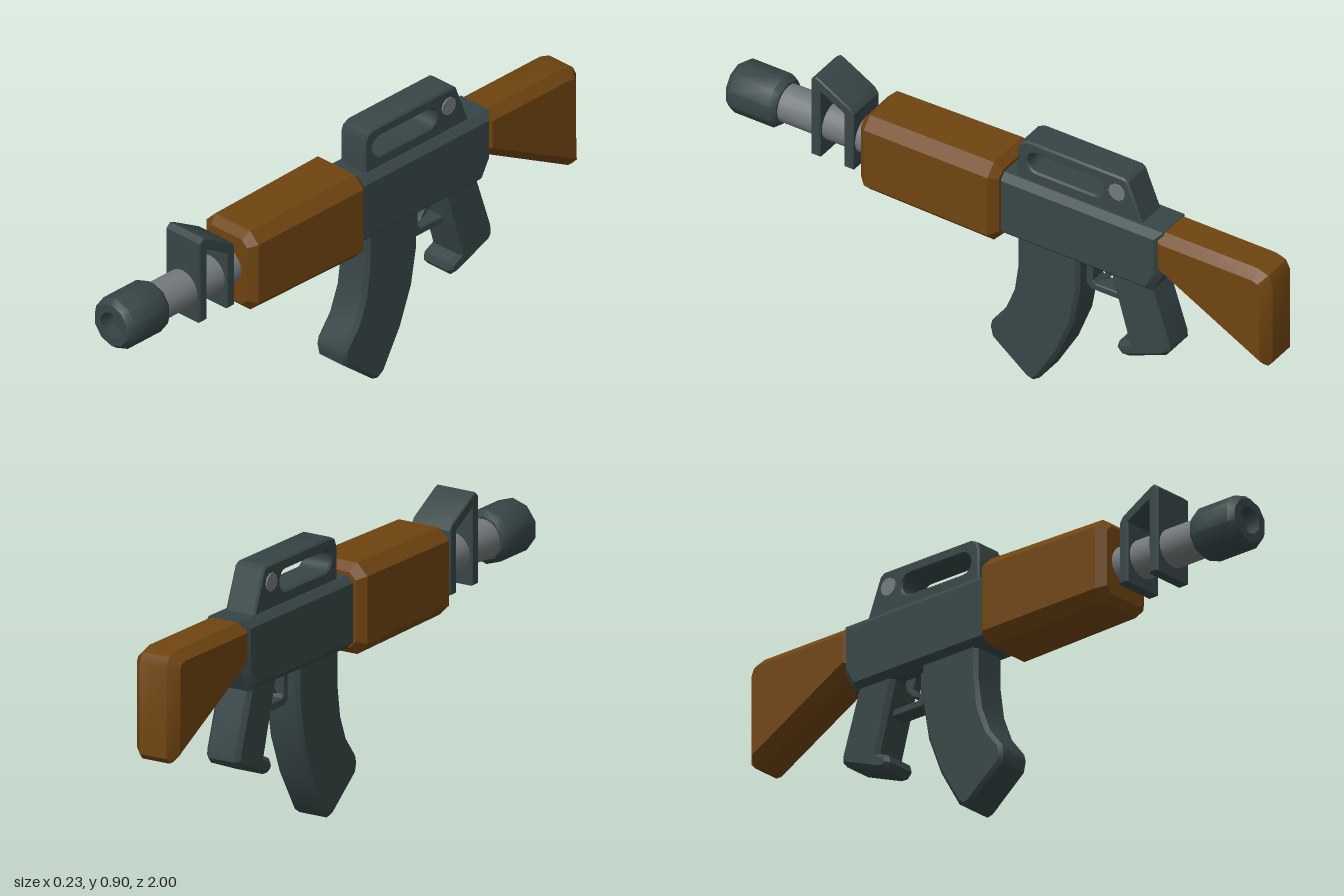
import * as THREE from 'three';
import { toCreasedNormals } from 'three/addons/utils/BufferGeometryUtils.js';

const AXIS_Y = 0.65; // height of the barrel axis

function material(name, color) {
  const m = new THREE.MeshStandardMaterial({ color });
  m.name = name;
  return m;
}

function polygon(points, Type = THREE.Shape) {
  return new Type(points.map(([a, b]) => new THREE.Vector2(a, b)));
}

// Bevelled slab: side outline given as [z, y], extruded across x and centred
function slab(points, width, bevel, hole) {
  const shape = polygon(points);
  if (hole) shape.holes.push(hole);
  const depth = width - 2 * bevel;
  const geo = new THREE.ExtrudeGeometry(shape, {
    depth, bevelEnabled: true, bevelSize: bevel, bevelThickness: bevel,
    bevelOffset: -bevel, bevelSegments: 1, curveSegments: 6,
  });
  geo.translate(0, 0, -depth / 2);
  geo.rotateY(-Math.PI / 2);
  return toCreasedNormals(geo, 0.5);
}

// Rounded slot used as a hole
function slot(z0, z1, y0, y1) {
  const r = (y1 - y0) / 2, y = (y0 + y1) / 2;
  const path = new THREE.Path();
  path.absarc(z1 - r, y, r, -Math.PI / 2, Math.PI / 2, false);
  path.absarc(z0 + r, y, r, Math.PI / 2, Math.PI * 1.5, false);
  path.closePath();
  return path;
}

// Chamfered eight-sided sleeve, slightly slimmer towards the front
function handguardGeometry() {
  const w = 0.117, top = 0.797, bottom = 0.502, c = 0.038, b = 0.026;
  const shape = polygon([
    [-w + c, bottom], [w - c, bottom], [w, bottom + c], [w, top - c],
    [w - c, top], [-w + c, top], [-w, top - c], [-w, bottom + c],
  ]);
  const geo = new THREE.ExtrudeGeometry(shape, {
    depth: 0.51 - 2 * b, bevelEnabled: true, bevelSize: b,
    bevelThickness: b, bevelOffset: -b, bevelSegments: 1,
  });
  geo.translate(0, 0, -0.02 + b);
  const p = geo.attributes.position;
  for (let i = 0; i < p.count; i++) {
    const s = 1 - 0.1 * Math.max(0, p.getZ(i));
    p.setX(i, p.getX(i) * s);
    p.setY(i, AXIS_Y + (p.getY(i) - AXIS_Y) * s);
  }
  return toCreasedNormals(geo, 0.4);
}

export function createModel() {
  const model = new THREE.Group();
  const dark = material('darkMetal', 0x374546);
  const wood = material('brownWood', 0x6f4410);
  const steel = material('greySteel', 0x74797b);

  function add(name, geo, mat) {
    const mesh = new THREE.Mesh(geo, mat);
    mesh.name = name;
    model.add(mesh);
    return mesh;
  }

  // Muzzle with a shallow bore
  const muzzle = new THREE.LatheGeometry([
    [0, 0.815], [0.072, 0.815], [0.088, 0.835], [0.088, 0.98], [0.072, 1],
    [0.045, 1], [0.045, 0.95], [0, 0.95],
  ].map(([r, z]) => new THREE.Vector2(r, z)), 10);
  muzzle.rotateX(Math.PI / 2);
  add('muzzle', toCreasedNormals(muzzle, 0.66), dark).position.y = AXIS_Y;

  // Barrel
  const barrel = new THREE.CylinderGeometry(0.063, 0.063, 0.38, 20);
  barrel.rotateX(Math.PI / 2);
  add('barrel', barrel, steel).position.set(0, AXIS_Y, 0.64);

  // Front sight: folded strap over the barrel
  add('frontSight', slab([
    [0.685, 0.552], [0.685, 0.835], [0.668, 0.85], [0.655, 0.845],
    [0.54, 0.779], [0.528, 0.76], [0.528, 0.552], [0.563, 0.552],
    [0.563, 0.752], [0.65, 0.802], [0.65, 0.552],
  ], 0.145, 0.004), dark);

  add('handguard', handguardGeometry(), wood);

  // Receiver body
  add('receiver', slab([
    [0, 0.76], [-0.605, 0.76], [-0.605, 0.6], [-0.565, 0.527], [0, 0.527],
  ], 0.164, 0.022), dark);

  // Carry handle with a rounded opening and a disc on each side
  add('carryHandle', slab([
    [-0.065, 0.74], [-0.065, 0.865], [-0.075, 0.89], [-0.1, 0.902],
    [-0.455, 0.902], [-0.47, 0.893], [-0.53, 0.74],
  ], 0.108, 0.006, slot(-0.38, -0.1, 0.797, 0.865)), dark);
  for (const side of [-1, 1]) {
    const disc = new THREE.CylinderGeometry(0.03, 0.03, 0.008, 10);
    disc.rotateZ(Math.PI / 2);
    add('handleDisc', disc, steel).position.set(side * 0.055, 0.845, -0.432);
  }

  // Curved magazine
  add('magazine', slab([
    [-0.067, 0.55], [-0.067, 0.42], [-0.053, 0.32], [-0.02, 0.235],
    [0.03, 0.17], [0.036, 0.145], [0.028, 0.11], [-0.1, 0.008],
    [-0.12, 0.003], [-0.145, 0.02], [-0.22, 0.15], [-0.27, 0.28],
    [-0.293, 0.41], [-0.295, 0.55],
  ], 0.126, 0.012), dark);

  // Trigger guard and trigger
  add('triggerGuard', slab([
    [-0.3, 0.54], [-0.3, 0.432], [-0.318, 0.414], [-0.46, 0.414],
    [-0.46, 0.44], [-0.335, 0.44], [-0.326, 0.45], [-0.326, 0.54],
  ], 0.06, 0.004), dark);
  add('trigger', slab([
    [-0.35, 0.54], [-0.365, 0.49], [-0.342, 0.456], [-0.37, 0.465],
    [-0.395, 0.495], [-0.4, 0.54],
  ], 0.035, 0.003), dark);

  // Pistol grip
  add('grip', slab([
    [-0.4, 0.56], [-0.415, 0.5], [-0.473, 0.295], [-0.437, 0.277],
    [-0.43, 0.252], [-0.447, 0.233], [-0.47, 0.234], [-0.608, 0.29],
    [-0.624, 0.31], [-0.622, 0.335], [-0.565, 0.51], [-0.55, 0.56],
  ], 0.126, 0.014), dark);

  // Shoulder stock
  add('stock', slab([
    [-0.57, 0.758], [-0.945, 0.758], [-0.985, 0.745], [-1, 0.715],
    [-1, 0.42], [-0.985, 0.402], [-0.965, 0.402], [-0.57, 0.615],
  ], 0.16, 0.03), wood);

  return model;
}
